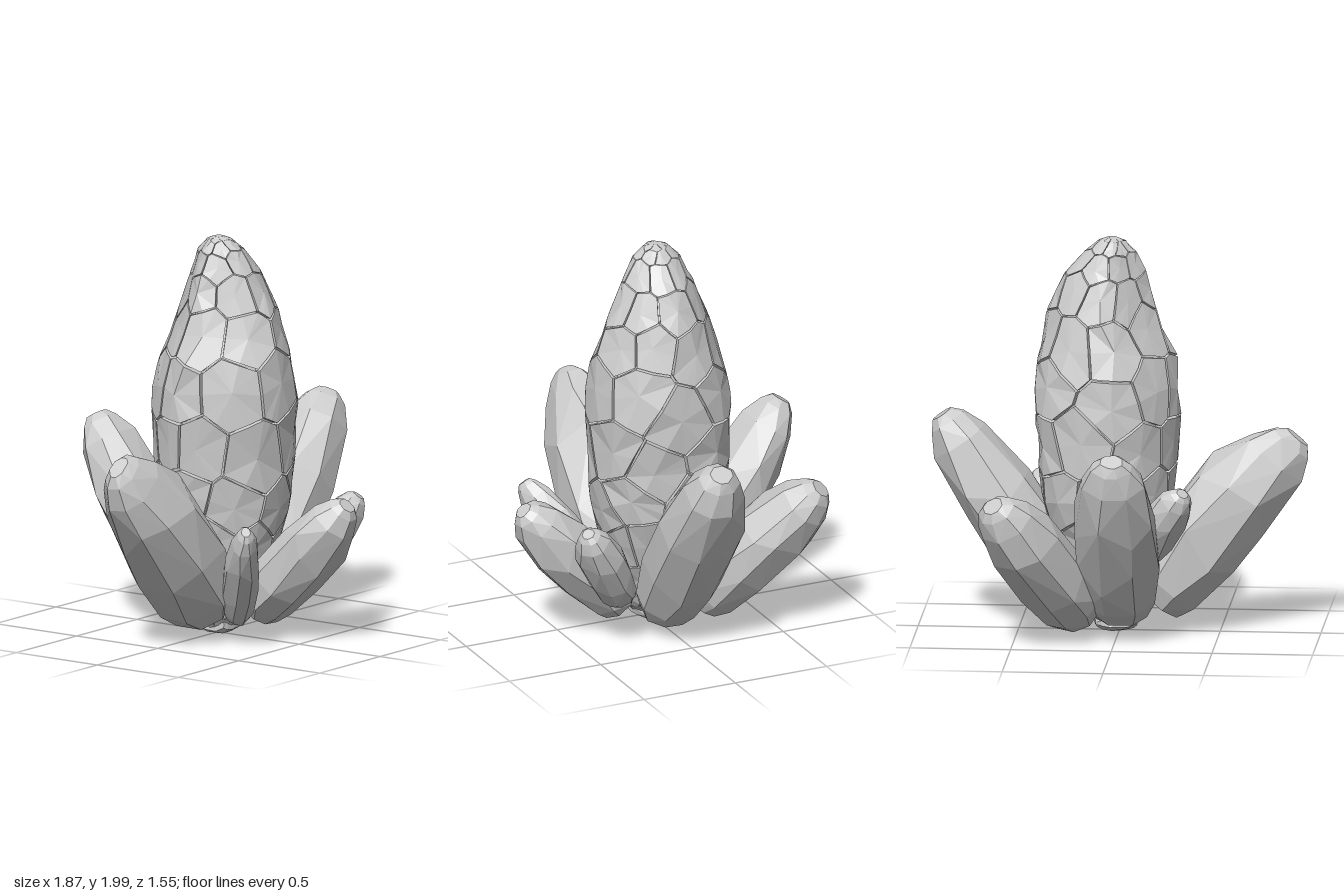
import * as THREE from 'three';
import { ConvexGeometry } from 'three/addons/geometries/ConvexGeometry.js';

const TAU = Math.PI * 2;

// Small seeded generator, returns -1..1
function seeded(seed) {
  let s = seed;
  return () => ((s = (s * 16807) % 2147483647) / 2147483647) * 2 - 1;
}

// Core rings from bottom to top: y, centre x, centre z, radius x, radius z
const RINGS = [
  [0.02, 0.0, 0, 0.07, 0.07],
  [0.12, 0.01, 0, 0.15, 0.15],
  [0.40, 0.03, -0.01, 0.26, 0.27],
  [0.70, 0.05, -0.02, 0.33, 0.345],
  [1.20, 0.05, -0.015, 0.365, 0.36],
  [1.40, 0.055, -0.01, 0.35, 0.345],
  [1.62, 0.08, -0.005, 0.285, 0.275],
  [1.80, 0.07, -0.01, 0.22, 0.195],
  [1.93, 0.04, -0.015, 0.13, 0.13],
  [1.985, 0.035, -0.02, 0.07, 0.07],
  [2.00, 0.035, -0.02, 0.03, 0.03],
];
const LAST = RINGS.length - 1;

// Height coordinate that stretches where the core is narrow, so cells keep their shape
const WIDTH = 0.34;
const STEPS = [0];
for (let i = 0; i < LAST; i++) {
  const a = RINGS[i], b = RINGS[i + 1];
  STEPS.push(STEPS[i] + Math.hypot(b[0] - a[0], b[3] - a[3]) * 2 * WIDTH / (a[3] + b[3]));
}
const TOP = STEPS[LAST];

// Point on the core at angle u and stretched height v, sunk by depth.
// The diagonals swell on the left side and are planed off towards the top.
function corePoint(u, v, depth = 0) {
  let i = 0;
  while (i < LAST - 1 && v > STEPS[i + 1]) i++;
  const t = THREE.MathUtils.clamp((v - STEPS[i]) / (STEPS[i + 1] - STEPS[i]), 0, 1);
  const [y, cx, cz, rx, rz] = RINGS[i].map((n, k) => n + (RINGS[i + 1][k] - n) * t);
  const planed = 0.14 * THREE.MathUtils.smoothstep(y, 1.15, 1.6);
  const swell = 1 + Math.abs(Math.sin(2 * u)) * (0.01 + 0.08 * Math.sin(u) - planed);
  const sink = (r) => Math.max(r * swell - depth, r * 0.6);
  return new THREE.Vector3(cx + sink(rx) * Math.sin(u), y, cz + sink(rz) * Math.cos(u));
}

function flatGeometry(points) {
  const g = new THREE.BufferGeometry().setFromPoints(points);
  g.computeVertexNormals();
  return g;
}

// Keep the part of a polygon where (p - m) . n <= 0
function clip(poly, m, n) {
  const side = (p) => (p[0] - m[0]) * n[0] + (p[1] - m[1]) * n[1];
  const out = [];
  poly.forEach((p, i) => {
    const q = poly[(i + 1) % poly.length], a = side(p), b = side(q);
    if (a <= 0) out.push(p);
    if (a * b < 0) {
      const t = a / (a - b);
      out.push([p[0] + (q[0] - p[0]) * t, p[1] + (q[1] - p[1]) * t]);
    }
  });
  return out;
}

// Cracked shell: cells around jittered seeds, each inset to leave a groove
function platesGeometry() {
  const rand = seeded(77), gap = 0.006, depth = 0.05, around = 8;
  const rows = Math.round(TOP / 0.27), seeds = [];
  for (let r = 0; r < rows; r++) for (let i = 0; i < around; i++) {
    const u = ((i + (r % 2) * 0.5 + rand() * 0.26) / around) * TAU;
    seeds.push([u * WIDTH, ((r + 0.5 + rand() * 0.26) / rows) * TOP]);
  }
  const tris = [];
  for (const s of seeds) {
    let poly = [[s[0] - 0.6, 0], [s[0] + 0.6, 0], [s[0] + 0.6, TOP], [s[0] - 0.6, TOP]];
    for (const o of seeds) for (const wrap of [-1, 0, 1]) {
      const d = [o[0] + wrap * TAU * WIDTH - s[0], o[1] - s[1]];
      const len = Math.hypot(d[0], d[1]);
      if (len < 1e-6) continue;
      const k = 0.5 - gap / len;
      poly = clip(poly, [s[0] + d[0] * k, s[1] + d[1] * k], d);
    }
    // Split each side so the plate follows the curve
    const rim = poly.flatMap((p, i) => {
      const q = poly[(i + 1) % poly.length];
      return [p, [(p[0] + q[0]) / 2, (p[1] + q[1]) / 2]];
    });
    const outer = rim.map((p) => corePoint(p[0] / WIDTH, p[1]));
    const inner = rim.map((p) => corePoint(p[0] / WIDTH, p[1], depth));
    // Plate middle lies between the flat rim and the curved surface
    const centre = new THREE.Vector3();
    outer.forEach((p) => centre.addScaledVector(p, 1 / outer.length));
    centre.lerp(corePoint(s[0] / WIDTH, s[1]), 0.75);
    outer.forEach((p, i) => {
      const j = (i + 1) % outer.length;
      tris.push(centre, p, outer[j], inner[i], inner[j], outer[j], inner[i], outer[j], p);
    });
  }
  return flatGeometry(tris);
}

// Solid heart under the plates, closed at both ends
function heartGeometry() {
  const n = 24, depth = 0.04, tris = [];
  const at = (i, r) => corePoint((i / n) * TAU, STEPS[r], depth);
  const hub = (r) => new THREE.Vector3(RINGS[r][1], RINGS[r][0], RINGS[r][2]);
  for (let i = 0; i < n; i++) {
    for (let r = 0; r < LAST; r++) {
      const a = at(i, r), b = at(i + 1, r), c = at(i + 1, r + 1), d = at(i, r + 1);
      tris.push(a, b, c, a, c, d);
    }
    tris.push(hub(0), at(i + 1, 0), at(i, 0), hub(LAST), at(i, LAST), at(i + 1, LAST));
  }
  return flatGeometry(tris);
}

// Faceted shard: hull of irregular cross-sections from base to tip,
// bowed upward and narrowing sideways by taper
function shardGeometry(base, tip, halfWidth, halfThick, bow, taper, seed) {
  const rand = seeded(seed);
  const a = new THREE.Vector3(...base), b = new THREE.Vector3(...tip);
  const dir = b.clone().sub(a).normalize();
  const wide = new THREE.Vector3(0, 1, 0).cross(dir).normalize();
  const thick = dir.clone().cross(wide);
  const sections = [[0, 0.66], [0.09, 0.86], [0.3, 1], [0.62, 1], [0.86, 0.77], [0.96, 0.5], [1, 0.28]];
  const sides = 8, twist = rand() * 0.4, points = [];
  for (const [t, size] of sections) {
    for (let i = 0; i < sides; i++) {
      const ang = (i / sides) * TAU + twist + rand() * 0.15;
      const r = size * (1.04 + rand() * 0.04);
      const along = t + (t > 0.2 && t < 0.8 ? rand() * 0.08 : 0);
      points.push(a.clone().lerp(b, along)
        .addScaledVector(wide, Math.cos(ang) * halfWidth * r * (1 - taper * t * t))
        .addScaledVector(thick, Math.sin(ang) * halfThick * r + bow * Math.sin(Math.PI * t)));
    }
  }
  return new ConvexGeometry(points);
}

// name, base, tip, half width, half thickness, bow, taper
const SHARDS = [
  ['leftShard', [0.23, 0.13, 0.01], [0.885, 1.08, 0.02], 0.205, 0.19, 0, 0],
  ['rightShard', [-0.18, 0.17, 0.03], [-0.88, 0.99, 0.04], 0.255, 0.225, 0.03, 0.4],
  ['frontShard', [0.07, 0.14, 0.21], [0.09, 0.72, 0.73], 0.18, 0.155, 0, 0.15],
  ['frontLeftShard', [0.27, 0.25, 0.28], [0.44, 0.69, 0.54], 0.115, 0.11, 0, 0],
  ['frontRightShard', [-0.11, 0.14, 0.20], [-0.42, 0.64, 0.485], 0.09, 0.11, 0, 0.1],
  ['backShard', [-0.02, 0.14, -0.18], [-0.02, 1.02, -0.735], 0.205, 0.165, 0, 0],
  ['backLeftShard', [0.19, 0.13, -0.20], [0.575, 0.77, -0.67], 0.195, 0.175, 0, 0],
  ['backRightShard', [-0.12, 0.42, -0.18], [-0.345, 0.79, -0.40], 0.11, 0.105, 0, 0],
];

export function createModel() {
  const model = new THREE.Group();
  const material = new THREE.MeshStandardMaterial({ color: 0xcccccc, flatShading: true });
  const add = (name, geometry) => {
    const mesh = new THREE.Mesh(geometry, material);
    mesh.name = name;
    model.add(mesh);
  };
  add('coreHeart', heartGeometry());
  add('corePlates', platesGeometry());
  SHARDS.forEach(([name, ...spec], i) => add(name, shardGeometry(...spec, 1201 + i * 977)));

  // Small rubble knot under the core
  add('baseKnot', shardGeometry([-0.08, 0.06, 0.02], [0.12, 0.05, -0.02], 0.1, 0.05, 0, 0, 4242));
  return model;
}
